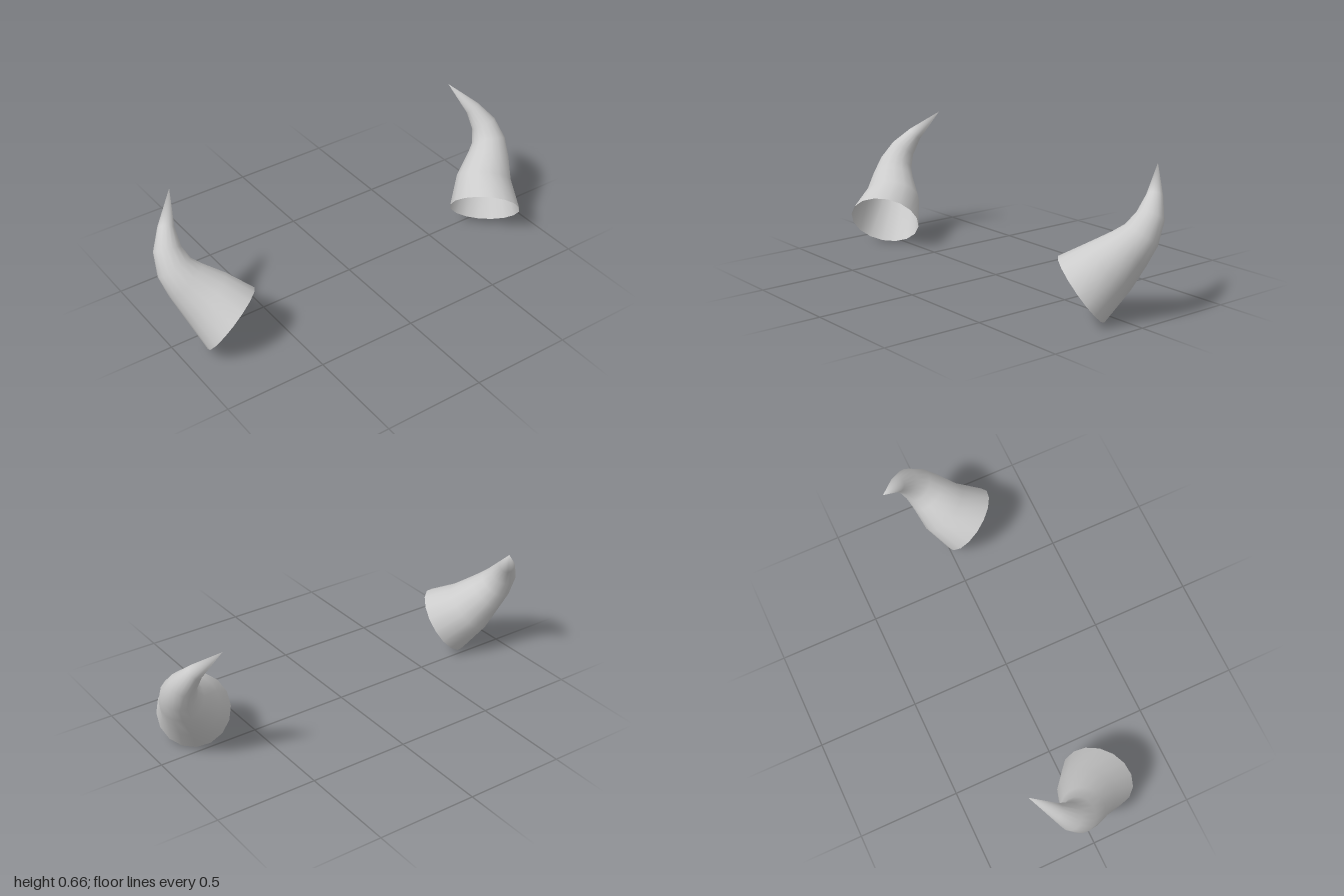
import * as THREE from 'three';

// Cross-sections of the left horn, base to tip: x, y, z, radius
const SECTIONS = [
  [0.75, 0.142, 0.13, 0.1765],
  [0.82, 0.243, 0.03, 0.139],
  [0.887, 0.33, -0.022, 0.105],
  [0.918, 0.39, -0.063, 0.085],
  [0.92, 0.463, -0.112, 0.064],
  [0.888, 0.54, -0.168, 0.038],
];
const TIP = new THREE.Vector3(0.805, 0.66, -0.268);
const SIDES = 16;

// side = 1 for left, -1 for right
function hornGeometry(side) {
  const centres = SECTIONS.map(([x, y, z]) => new THREE.Vector3(x, y, z));
  centres.push(TIP);
  const planeNormal = new THREE.Vector3(0, 0.61, 0.79);
  const positions = [];
  const index = [];
  const face = (a, b, c) => (side > 0 ? index.push(a, b, c) : index.push(a, c, b));

  // Rings square to the curved centre line
  SECTIONS.forEach(([, , , radius], i) => {
    const t = i === 0
      ? new THREE.Vector3(0.527, 0.594, -0.609)
      : centres[i + 1].clone().sub(centres[i]).normalize()
        .add(centres[i].clone().sub(centres[i - 1]).normalize());
    t.normalize();
    const u = planeNormal.clone().addScaledVector(t, -planeNormal.dot(t)).normalize();
    const v = t.clone().cross(u);
    for (let j = 0; j < SIDES; j++) {
      const angle = (j / SIDES) * Math.PI * 2;
      const p = centres[i].clone()
        .addScaledVector(u, Math.cos(angle) * radius)
        .addScaledVector(v, Math.sin(angle) * radius);
      positions.push(p.x * side, p.y, p.z);
    }
  });
  positions.push(TIP.x * side, TIP.y, TIP.z);

  // Skin between rings, closing to a point at the tip
  const last = SECTIONS.length - 1;
  const tipIndex = SECTIONS.length * SIDES;
  for (let i = 0; i <= last; i++) {
    for (let j = 0; j < SIDES; j++) {
      const a = i * SIDES + j;
      const b = i * SIDES + ((j + 1) % SIDES);
      if (i === last) {
        face(a, b, tipIndex);
      } else {
        face(a, b, a + SIDES);
        face(b, b + SIDES, a + SIDES);
      }
    }
  }

  const geometry = new THREE.BufferGeometry();
  geometry.setAttribute('position', new THREE.Float32BufferAttribute(positions, 3));
  geometry.setIndex(index);
  geometry.computeVertexNormals();
  return geometry;
}

export function createModel() {
  const group = new THREE.Group();
  group.name = 'horns';
  // Open at the base, so the inside shows
  const material = new THREE.MeshStandardMaterial({ color: 0xcccccc, side: THREE.DoubleSide });
  for (const [name, side] of [['leftHorn', 1], ['rightHorn', -1]]) {
    const horn = new THREE.Mesh(hornGeometry(side), material);
    horn.name = name;
    group.add(horn);
  }
  return group;
}
